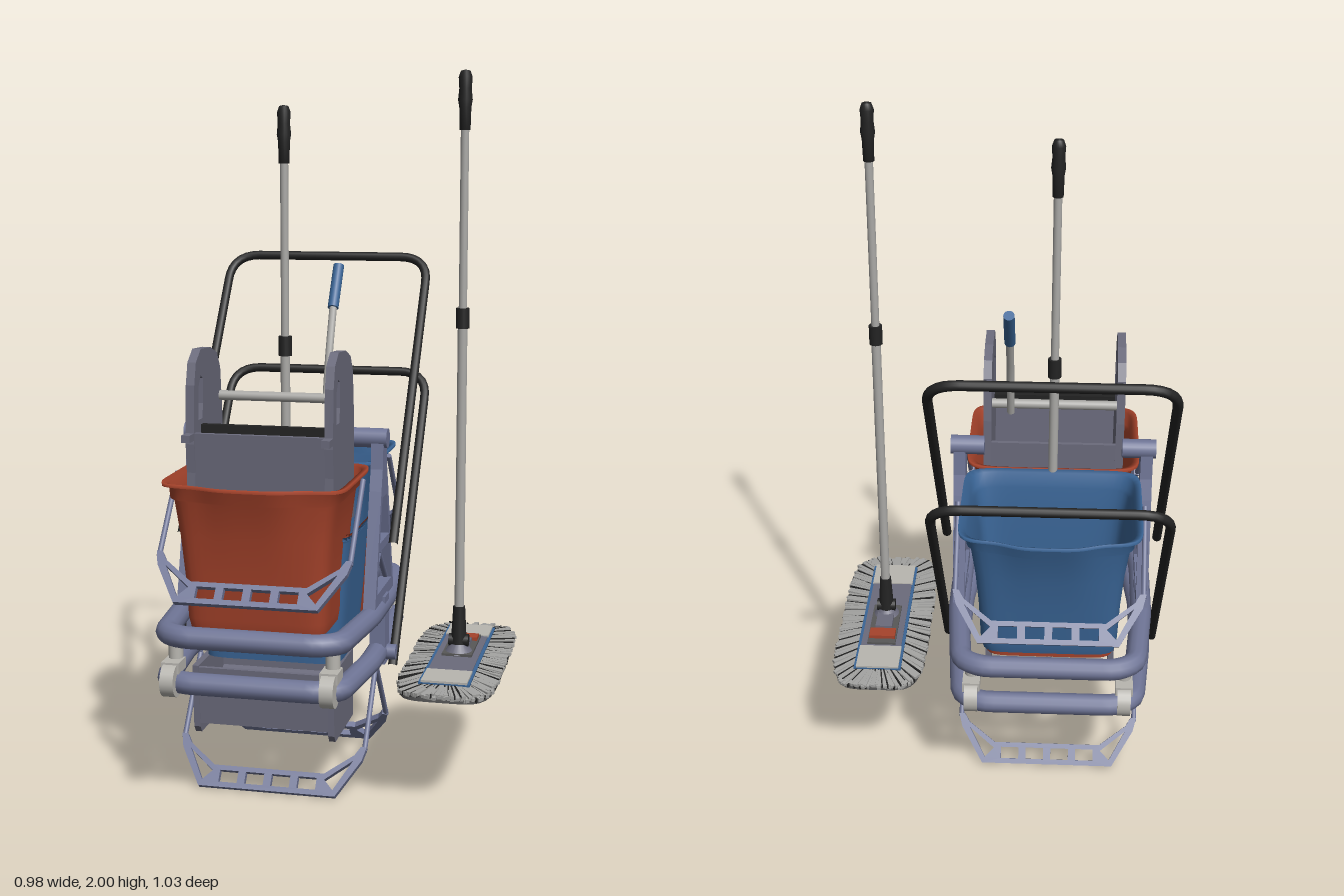
import * as THREE from 'three';
import { mergeGeometries } from 'three/addons/utils/BufferGeometryUtils.js';

const mat = (name, color, side = THREE.FrontSide) => {
  const m = new THREE.MeshStandardMaterial({ color, side });
  m.name = name;
  return m;
};
const V = (x, y, z) => new THREE.Vector3(x, y, z);

export function createModel() {
  const root = new THREE.Group();
  const cart = new THREE.Group();
  cart.name = 'cart';
  cart.position.set(-0.165, 0, 0.06);
  root.add(cart);

  const red = mat('red plastic', 0xa6432b, THREE.DoubleSide);
  const blue = mat('blue plastic', 0x3a6596, THREE.DoubleSide);
  const frame = mat('blue grey frame', 0x6f7596);
  const grey = mat('grey plastic', 0x6b6b7c, THREE.DoubleSide);
  const black = mat('black', 0x232323);
  const metal = mat('metal', 0xaaa9a6);
  const pale = mat('pale grey', 0xb8b6b0);
  const fringe = mat('fringe', 0xa3a3a1);
  const dark = mat('dark backing', 0x585858);

  const add = (parent, name, geo, m, x = 0, y = 0, z = 0) => {
    const mesh = new THREE.Mesh(geo, m);
    mesh.name = name;
    mesh.position.set(x, y, z);
    parent.add(mesh);
    return mesh;
  };
  const box = (p, n, m, w, h, d, x, y, z) => add(p, n, new THREE.BoxGeometry(w, h, d), m, x, y, z);
  const rod = (p, n, m, r, a, b) => {
    const d = b.clone().sub(a);
    const mesh = add(p, n, new THREE.CylinderGeometry(r, r, d.length(), 20), m);
    mesh.position.copy(a).addScaledVector(d, 0.5);
    mesh.quaternion.setFromUnitVectors(V(0, 1, 0), d.normalize());
    return mesh;
  };

  // Tube through points with rounded corners
  const bentTube = (p, n, m, pts, r, bend, closed = false) => {
    const path = new THREE.CurvePath();
    const N = pts.length;
    const towards = (a, b) => a.clone().addScaledVector(b.clone().sub(a).normalize(), bend);
    for (let i = 0; i < (closed ? N : N - 1); i++) {
      const a = pts[i], b = pts[(i + 1) % N], c = pts[(i + 2) % N];
      const from = closed || i > 0 ? towards(a, b) : a;
      const cornered = closed || i < N - 2;
      const to = cornered ? towards(b, a) : b;
      path.add(new THREE.LineCurve3(from, to));
      if (cornered) path.add(new THREE.QuadraticBezierCurve3(to, b, towards(b, c)));
    }
    return add(p, n, new THREE.TubeGeometry(path, 120, r, 12, closed), m);
  };

  // Flat outline with holes, extruded and centred on its thickness
  const plate = (outline, holes, depth) => {
    const v2 = (l) => l.map(([x, y]) => new THREE.Vector2(x, y));
    const s = new THREE.Shape(v2(outline));
    holes.forEach((h) => s.holes.push(new THREE.Path(v2(h))));
    return new THREE.ExtrudeGeometry(s, { depth, bevelEnabled: false }).translate(0, 0, -depth / 2);
  };
  const rect = (x, y, w, h) => [[x - w / 2, y - h / 2], [x + w / 2, y - h / 2], [x + w / 2, y + h / 2], [x - w / 2, y + h / 2]];

  // Rounded rectangle point at an angle, on half sizes of one
  const squircle = (t, n) => {
    const c = Math.cos(t), s = Math.sin(t);
    const r = (Math.abs(c) ** n + Math.abs(s) ** n) ** (-1 / n);
    return [c * r, s * r];
  };

  // Bucket from stacked sections [y, half width, zMin, zMax, spout]
  const bucket = (name, m, sections, dir) => {
    const pos = [], idx = [], N = 96;
    const [y0, , a0, b0] = sections[0];
    const rows = [[y0, 0.001, (a0 + b0) / 2 - 0.001, (a0 + b0) / 2 + 0.001, 0], sections[0], ...sections];
    rows.forEach(([y, hx, z0, z1, spout], j) => {
      for (let i = 0; i < N; i++) {
        const [c, s] = squircle((i / N) * Math.PI * 2, 8);
        const x = c * hx;
        const bulge = s > 0 ? spout * s * Math.exp(-((x / 0.125) ** 4)) : 0;
        pos.push(x, y, dir * ((z0 + z1) / 2 + (s * (z1 - z0)) / 2 + bulge));
        const a = j * N + i, b = j * N + ((i + 1) % N);
        if (j < rows.length - 1 && j !== 1) {
          if (dir > 0) idx.push(a, a + N, b, b, a + N, b + N);
          else idx.push(a, b, a + N, b, b + N, a + N);
        }
      }
    });
    const g = new THREE.BufferGeometry();
    g.setAttribute('position', new THREE.Float32BufferAttribute(pos, 3));
    g.setIndex(idx);
    g.computeVertexNormals();
    add(cart, name, g, m);
  };
  const large = [[0.5, 0.192, 0.045, 0.35, 0], [0.53, 0.197, 0.042, 0.357, 0], [0.65, 0.202, 0.038, 0.367, 0.002], [0.76, 0.211, 0.033, 0.378, 0.008],
    [0.86, 0.225, 0.025, 0.388, 0.022], [0.865, 0.235, 0.018, 0.394, 0.026], [0.905, 0.238, 0.015, 0.397, 0.028],
    [0.91, 0.256, 0.002, 0.406, 0.03], [0.9, 0.256, 0.002, 0.406, 0.03]];
  bucket('frontBucket', red, large, 1);
  bucket('rearBucket', blue, large, -1);
  const small = (w) => [[0.37, 0.192 + w, -0.125, 0.188, 0], [0.55, 0.207 + w, -0.14, 0.196, 0], [0.715, 0.216 + w, -0.158, 0.2, 0.004],
    [0.735, 0.222 + w, -0.17, 0.208, 0.008], [0.725, 0.224 + w, -0.17, 0.208, 0.008]];
  bucket('lowerFrontBucket', blue, small(0.004), 1);
  bucket('lowerRearBucket', red, small(0), -1);

  // Wire bails with a pierced grip
  const gripHoles = [-0.114, -0.038, 0.038, 0.114].map((x) => rect(x, -0.366, 0.054, 0.034));
  for (const s of [1, -1]) gripHoles.push([[s * 0.238, -0.292], [s * 0.163, -0.352], [s * 0.19, -0.38]]);
  const bail = (name, y, z, angle) => {
    const g = new THREE.Group();
    g.name = name;
    g.position.set(0, y, z);
    g.rotation.x = angle;
    for (const s of [1, -1]) rod(g, 'bailWire', frame, 0.0075, V(s * 0.265, 0, 0), V(s * 0.265, -0.26, 0));
    add(g, 'bailGrip', plate([[-0.272, -0.25], [-0.262, -0.29], [-0.198, -0.398], [0.198, -0.398], [0.262, -0.29], [0.272, -0.25],
      [0.255, -0.25], [0.24, -0.275], [0.16, -0.335], [-0.16, -0.335], [-0.24, -0.275], [-0.255, -0.25]], gripHoles, 0.018), frame);
    cart.add(g);
  };
  for (const s of [1, -1]) {
    bail('bucketBail', 0.9, s * 0.185, -s * 0.7);
    bail('lowerBail', 0.318, 0, -s * 0.665);
  }

  // Two stacked frame rings
  const ring = [[0.19, 0.41], [0.245, 0.375], [0.272, 0.12], [0.272, -0.12], [0.25, -0.375], [0.195, -0.41]];
  for (const [y, k] of [[0.493, 1], [0.362, 0.98]]) {
    const pts = [...ring, ...ring.map(([x, z]) => [-x, z]).reverse()].map(([x, z]) => V(x, y, z * k));
    bentTube(cart, 'frameRing', frame, pts, 0.031, 0.03, true);
  }

  for (const s of [1, -1]) {
    // Side towers
    const tower = add(cart, 'sideTower', plate(
      [[-0.135, 0.52], [0.135, 0.52], [0.05, 0.84], [0.032, 0.9], [0.022, 1.0], [-0.022, 1.0], [-0.032, 0.9], [-0.05, 0.84]],
      [[[-0.105, 0.555], [0.105, 0.555], [0.075, 0.67], [-0.075, 0.67]], [[-0.068, 0.695], [0.068, 0.695], [0.034, 0.82], [-0.034, 0.82]]],
      0.035), frame, s * 0.272);
    tower.rotation.y = Math.PI / 2;
    for (const k of [1, -1]) rod(cart, 'towerBrace', frame, 0.008, V(s * 0.272, 0.56, k * 0.1), V(s * 0.272, 0.69, -k * 0.04));
    rod(cart, 'towerCap', frame, 0.028, V(s * 0.2, 0.985, 0), V(s * 0.298, 0.985, 0));
    box(cart, 'framePost', frame, 0.045, 0.2, 0.06, s * 0.275, 0.43, 0);
    rod(cart, 'handleSocket', frame, 0.022, V(s * 0.27, 0.36, 0), V(s * 0.325, 0.36, 0));
    // Casters
    for (const [zs, zw] of [[0.36, 0.405], [-0.345, -0.385]]) {
      rod(cart, 'casterStem', pale, 0.02, V(s * 0.22, 0.4, zs), V(s * 0.22, 0.46, zs));
      box(cart, 'casterFork', pale, 0.05, 0.03, 0.065, s * 0.22, 0.405, (zs + zw) / 2);
      rod(cart, 'casterWheel', pale, 0.046, V(s * 0.22 - 0.019, 0.37, zw), V(s * 0.22 + 0.019, 0.37, zw));
    }
  }

  // Push handles
  for (const [y0, y1] of [[0.68, 1.46], [0.32, 1.1]]) {
    bentTube(cart, 'pushHandle', black, [V(-0.315, y0, 0.005), V(-0.315, y1, -0.562), V(0.315, y1, -0.562), V(0.315, y0, 0.005)], 0.0135, 0.09);
  }

  // Wringer press above the front bucket
  const panelHoles = [];
  for (let i = 0; i < 12; i++) for (let j = 0; j < 6; j++) panelHoles.push(rect((i - 5.5) * 0.029, (j - 2.5) * 0.028, 0.017, 0.017));
  const sieve = (name, w, h, y, z, tilt) => {
    const p = add(cart, name, plate(rect(0, 0, w, h), panelHoles, 0.008), grey, 0, y, z);
    p.rotation.x = tilt;
  };
  const cheek = [[-0.29, 0.76], [-0.285, 0.92], [-0.292, 1.0], [-0.282, 1.16], [-0.265, 1.22], [-0.22, 1.252], [-0.13, 1.247], [-0.07, 1.225], [-0.04, 1.18], [-0.025, 1.05], [-0.02, 0.76]];
  const slot = [[-0.25, 1.06], [-0.215, 1.06], [-0.205, 1.1], [-0.205, 1.17], [-0.225, 1.18], [-0.245, 1.15]];
  const lowCheek = [[-0.02, 0.37], [-0.02, 0.17], [-0.25, 0.17], [-0.265, 0.19], [-0.275, 0.37]];
  for (const s of [1, -1]) {
    add(cart, 'wringerCheek', plate(cheek, [slot], 0.024), grey, s * 0.193).rotation.y = Math.PI / 2;
    add(cart, 'lowerWringerCheek', plate(lowCheek, [], 0.018), grey, s * 0.193).rotation.y = Math.PI / 2;
    box(cart, 'wringerTab', grey, 0.024, 0.02, 0.04, s * 0.193, 1.02, 0.31);
  }
  box(cart, 'wringerFront', grey, 0.39, 0.24, 0.012, 0, 0.91, 0.275).rotation.x = 0.06;
  box(cart, 'wringerBack', grey, 0.38, 0.19, 0.012, 0, 0.885, 0.03);
  sieve('wringerSieve', 0.375, 0.24, 0.83, 0.145, -1.25);
  box(cart, 'pressBar', black, 0.365, 0.03, 0.02, 0, 1.03, 0.218);
  box(cart, 'pressPlate', grey, 0.37, 0.012, 0.05, 0, 1.015, 0.245);
  rod(cart, 'pressRoller', metal, 0.014, V(-0.19, 1.1, 0.045), V(0.18, 1.1, 0.045));
  box(cart, 'lowerWringerFront', grey, 0.385, 0.165, 0.012, 0, 0.283, 0.262).rotation.x = 0.05;
  box(cart, 'lowerWringerBack', grey, 0.385, 0.07, 0.012, 0, 0.335, 0.03);
  sieve('lowerWringerSieve', 0.375, 0.25, 0.25, 0.145, -1.2);
  add(cart, 'underPad', new THREE.SphereGeometry(1, 20, 12), pale, 0, 0.345, -0.07).scale.set(0.045, 0.014, 0.085);

  // Press lever
  bentTube(cart, 'leverArm', metal, [V(0.125, 1.08, 0.03), V(0.125, 1.22, -0.01), V(0.125, 1.36, -0.07)], 0.011, 0.05);
  rod(cart, 'leverGrip', blue, 0.0155, V(0.125, 1.345, -0.062), V(0.125, 1.46, -0.137));

  // Telescopic poles
  const pole = (parent, bottom, top, joint) => {
    rod(parent, 'poleLower', metal, 0.0135, V(0, bottom, 0), V(0, joint, 0));
    rod(parent, 'poleUpper', metal, 0.0115, V(0, joint, 0), V(0, top - 0.1, 0));
    rod(parent, 'poleJoint', black, 0.019, V(0, joint - 0.028, 0), V(0, joint + 0.028, 0));
    const prof = [[0, -0.16], [0.015, -0.16], [0.0165, -0.1], [0.02, -0.08], [0.017, -0.05], [0.019, -0.02], [0.013, -0.003], [0, 0]];
    add(parent, 'poleGrip', new THREE.LatheGeometry(prof.map(([x, y]) => new THREE.Vector2(x, y)), 20), black, 0, top, 0);
  };
  pole(cart, 0.78, 1.91, 1.24);

  // Flat mop standing beside the cart
  const mop = new THREE.Group();
  mop.name = 'flatMop';
  mop.position.set(0.342, 0, 0.065);
  root.add(mop);
  pole(mop, 0.48, 2, 1.33);
  const outline = Array.from({ length: 64 }, (_, i) => {
    const [c, s] = squircle((i / 64) * Math.PI * 2, 5);
    return [c * 0.134, s * 0.337];
  });
  add(mop, 'mopBacking', plate(outline, [], 0.014), dark, 0, 0.344, 0).rotation.x = Math.PI / 2;

  // Fringe strands fanning out from the mop plate, a few of them black
  let seed = 7;
  const rnd = () => (seed = (seed * 16807) % 2147483647) / 2147483647;
  const strands = [[], []];
  const count = 270;
  for (let i = 0; i < count; i++) {
    const [c, s] = squircle(((i + rnd() * 0.6) / count) * Math.PI * 2, 5);
    const reach = 0.97 + rnd() * 0.05;
    const a = V(c * 0.06, 0.362, s * 0.265);
    const b = V(c * 0.138 * reach, 0.348 + rnd() * 0.01, s * 0.342 * reach);
    const streak = i % 5 === 0 ? 1 : 0;
    const g = new THREE.BoxGeometry(streak ? 0.004 : 0.0105, streak ? 0.011 : 0.009, a.distanceTo(b));
    g.applyMatrix4(new THREE.Matrix4().lookAt(b, a, V(0, 1, 0)).setPosition(a.add(b).multiplyScalar(0.5)));
    strands[streak].push(g);
  }
  add(mop, 'mopFringe', mergeGeometries(strands[0]), fringe);
  add(mop, 'mopStreaks', mergeGeometries(strands[1]), black);

  // Mop plate, end pockets and swivel
  box(mop, 'mopPlateEdge', blue, 0.14, 0.012, 0.55, 0, 0.364, 0);
  box(mop, 'mopPlate', grey, 0.122, 0.014, 0.545, 0, 0.366, 0);
  for (const s of [1, -1]) box(mop, 'mopPocket', pale, 0.126, 0.018, 0.105, 0, 0.367, s * 0.222);
  box(mop, 'mopCentre', dark, 0.085, 0.02, 0.2, 0, 0.37, -0.06);
  box(mop, 'mopPedal', red, 0.078, 0.02, 0.042, 0, 0.38, -0.118);
  box(mop, 'swivelBracket', grey, 0.05, 0.022, 0.09, 0, 0.381, -0.045);
  add(mop, 'swivelBase', new THREE.CylinderGeometry(0.02, 0.042, 0.03, 20), grey, 0, 0.39, 0);
  rod(mop, 'swivelPin', black, 0.018, V(-0.028, 0.41, 0), V(0.028, 0.41, 0));
  add(mop, 'swivelSocket', new THREE.CylinderGeometry(0.017, 0.023, 0.11, 20), black, 0, 0.455, 0);

  return root;
}
